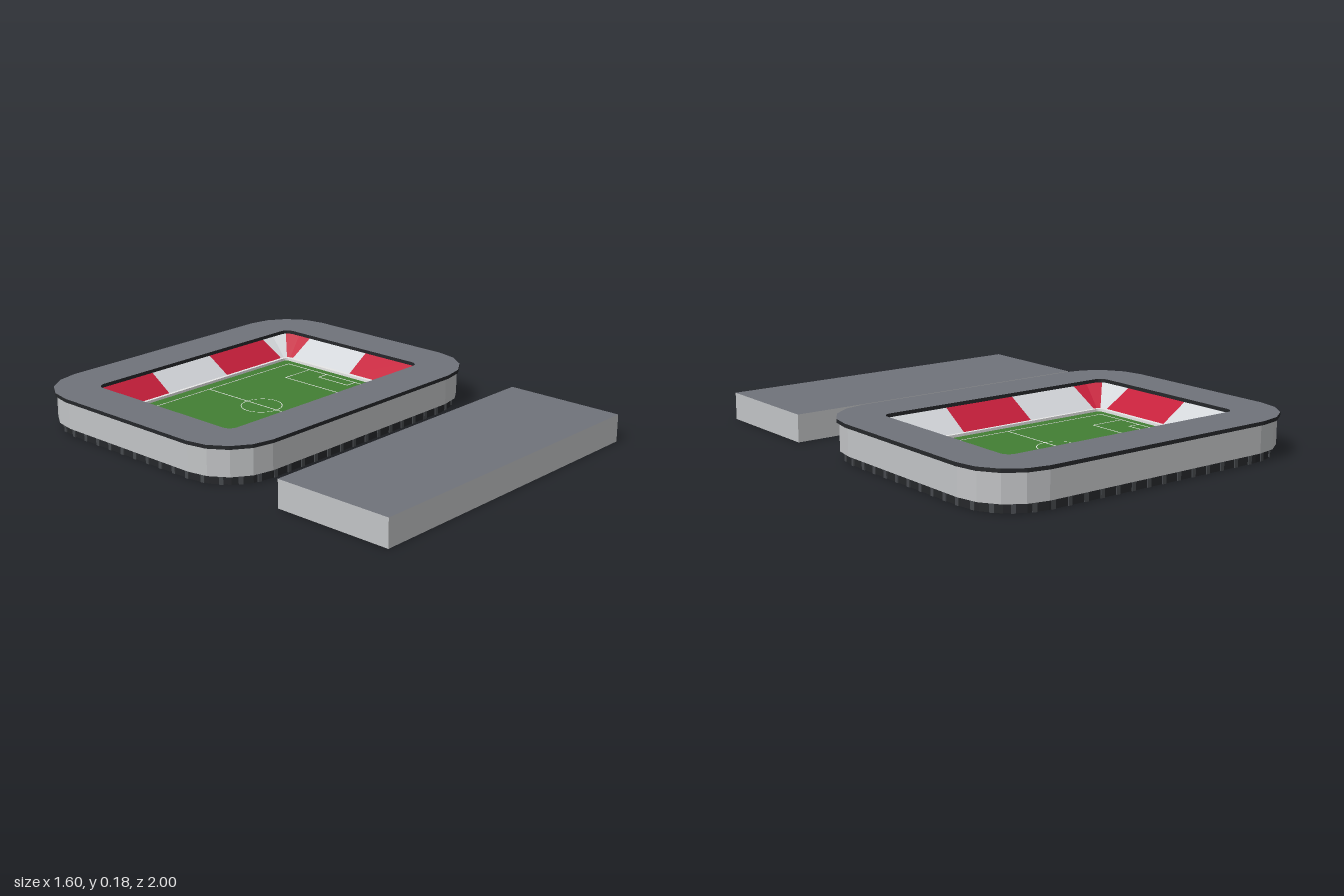
import * as THREE from 'three';

const mat = (name, color, side = THREE.FrontSide) =>
  Object.assign(new THREE.MeshStandardMaterial({ color, side, flatShading: true }), { name });

const CZ = -0.38; // stadium centre in z
const SEG = 4; // facets per corner

// Closed rounded-rectangle rail; long sides split in 3, short sides in 2.
// Each point carries the index of the seating block that follows it.
function rail(hx, hz, r) {
  const pts = [];
  let block = 0;
  for (let q = 0; q < 4; q++) {
    const sx = q === 0 || q === 3 ? 1 : -1;
    const sz = q < 2 ? 1 : -1;
    for (let i = 0; i < SEG; i++) {
      const a = (q + i / SEG) * Math.PI / 2;
      pts.push({ x: sx * (hx - r) + r * Math.cos(a), z: sz * (hz - r) + r * Math.sin(a), block: block + Math.floor(i / 2) });
    }
    block += 2;
    const n = q % 2 === 0 ? 3 : 2;
    for (let i = 0; i < n; i++) {
      const t = 1 - 2 * i / n;
      pts.push(n === 3
        ? { x: sx * t * (hx - r), z: sz * hz, block: block++ }
        : { x: sx * hx, z: sz * t * (hz - r), block: block++ });
    }
  }
  return pts;
}

// Skin between a lower and an upper rail, keeping the edges that pass the test
function loft(a, ya, b, yb, keep = () => true) {
  const v = [];
  a.forEach((p, i) => {
    if (!keep(p.block)) return;
    const j = (i + 1) % a.length;
    const A = [p.x, ya, p.z], B = [a[j].x, ya, a[j].z];
    const C = [b[j].x, yb, b[j].z], D = [b[i].x, yb, b[i].z];
    v.push(...A, ...D, ...C, ...A, ...C, ...B);
  });
  const g = new THREE.BufferGeometry();
  g.setAttribute('position', new THREE.Float32BufferAttribute(v, 3));
  g.computeVertexNormals();
  return g;
}

// Flat slab from a rail, with an optional hole; y is the underside
function slab(outer, inner, y, depth) {
  const vec = (l) => l.map((p) => new THREE.Vector2(p.x, -p.z));
  const shape = new THREE.Shape(vec(outer));
  if (inner) shape.holes.push(new THREE.Path(vec(inner)));
  return new THREE.ExtrudeGeometry(shape, { depth, bevelEnabled: false })
    .rotateX(-Math.PI / 2).translate(0, y, 0);
}

export function createModel() {
  const DS = THREE.DoubleSide;
  const roofGrey = mat('roofGrey', 0x70737b, DS);
  const wallGrey = mat('wallGrey', 0xc2c4c6, DS);
  const trimDark = mat('trimDark', 0x25272a, DS);
  const columnGrey = mat('columnGrey', 0x46494d);
  const seatRed = mat('seatRed', 0xc41e3a, DS);
  const seatLight = mat('seatLight', 0xd2d5d9, DS);
  const grass = mat('grass', 0x437f34, DS);
  const white = mat('white', 0xffffff, DS);

  const model = new THREE.Group();
  const stadium = new THREE.Group();
  stadium.name = 'stadium';
  stadium.position.z = CZ;
  model.add(stadium);
  const add = (name, geo, material, parent = stadium) => {
    const m = new THREE.Mesh(geo, material);
    m.name = name;
    parent.add(m);
    return m;
  };

  // Roof ring with dark fascia on its outer and inner edges
  add('roof', slab(rail(0.8, 0.62, 0.245), rail(0.597, 0.415, 0.04), 0.16, 0.016), [roofGrey, trimDark]);

  // Overhanging facade and its soffit
  const facade = rail(0.79, 0.61, 0.24);
  const base = rail(0.77, 0.595, 0.23);
  add('facade', loft(facade, 0.04, facade, 0.16), wallGrey);
  add('soffit', loft(base, 0.04, facade, 0.04), trimDark);

  // Recessed ground floor with a row of columns
  add('groundFloor', loft(base, 0, base, 0.04), trimDark);
  const columns = new THREE.Group();
  columns.name = 'columns';
  stadium.add(columns);
  const path = new THREE.Path(base.concat(base[0]).map((p) => new THREE.Vector2(p.x, p.z)));
  const columnGeo = new THREE.BoxGeometry(0.018, 0.04, 0.01);
  const COUNT = 64;
  for (let i = 0; i < COUNT; i++) {
    const p = path.getPointAt(i / COUNT);
    const t = path.getTangentAt(i / COUNT);
    const c = add('column', columnGeo, columnGrey, columns);
    c.position.set(p.x, 0.02, p.y);
    c.rotation.y = -Math.atan2(t.y, t.x);
  }

  // Sloping stands in alternating blocks
  const low = rail(0.59, 0.41, 0.04);
  const high = rail(0.768, 0.593, 0.23);
  add('lightSeats', loft(low, 0.04, high, 0.155, (b) => b % 2 === 0), seatLight);
  add('redSeats', loft(low, 0.04, high, 0.155, (b) => b % 2 === 1), seatRed);

  // Pitch and the barrier around it
  const pitchEdge = rail(0.57, 0.395, 0.02);
  add('pitch', slab(pitchEdge, null, 0.025, 0.005), grass);
  add('barrier', slab(low, pitchEdge, 0.027, 0.015), white);

  // Pitch markings
  const marks = new THREE.Group();
  marks.name = 'pitchMarkings';
  stadium.add(marks);
  const W = 0.004, Y = 0.031;
  const line = (x0, z0, x1, z1) => {
    const g = new THREE.BoxGeometry(Math.abs(x1 - x0) + W, 0.001, Math.abs(z1 - z0) + W);
    add('line', g, white, marks).position.set((x0 + x1) / 2, Y, (z0 + z1) / 2);
  };
  line(0, -0.34, 0, 0.34);
  for (const s of [-1, 1]) {
    line(-0.53, s * 0.34, 0.53, s * 0.34);
    line(s * 0.53, -0.34, s * 0.53, 0.34);
    // Penalty area and goal area
    for (const [x, z] of [[0.365, 0.202], [0.475, 0.09]]) {
      line(s * x, -z, s * x, z);
      line(s * x, z, s * 0.53, z);
      line(s * x, -z, s * 0.53, -z);
    }
  }
  add('centreCircle', new THREE.RingGeometry(0.09, 0.094, 40).rotateX(-Math.PI / 2), white, marks).position.y = Y;

  // Plain hall in front of the stadium, open underneath
  const hall = new THREE.Group();
  hall.name = 'hall';
  hall.position.z = 0.725;
  model.add(hall);
  const H = 0.122, HX = 0.75, HZ = 0.275;
  for (const s of [-1, 1]) {
    const front = add('hallLongWall', new THREE.PlaneGeometry(2 * HX, H), wallGrey, hall);
    front.position.set(0, H / 2, s * HZ);
    front.rotation.y = s > 0 ? 0 : Math.PI;
    const end = add('hallEndWall', new THREE.PlaneGeometry(2 * HZ, H), wallGrey, hall);
    end.position.set(s * HX, H / 2, 0);
    end.rotation.y = s * Math.PI / 2;
  }
  add('hallRoof', new THREE.PlaneGeometry(2 * HX, 2 * HZ).rotateX(-Math.PI / 2), roofGrey, hall).position.y = H;

  return model;
}
